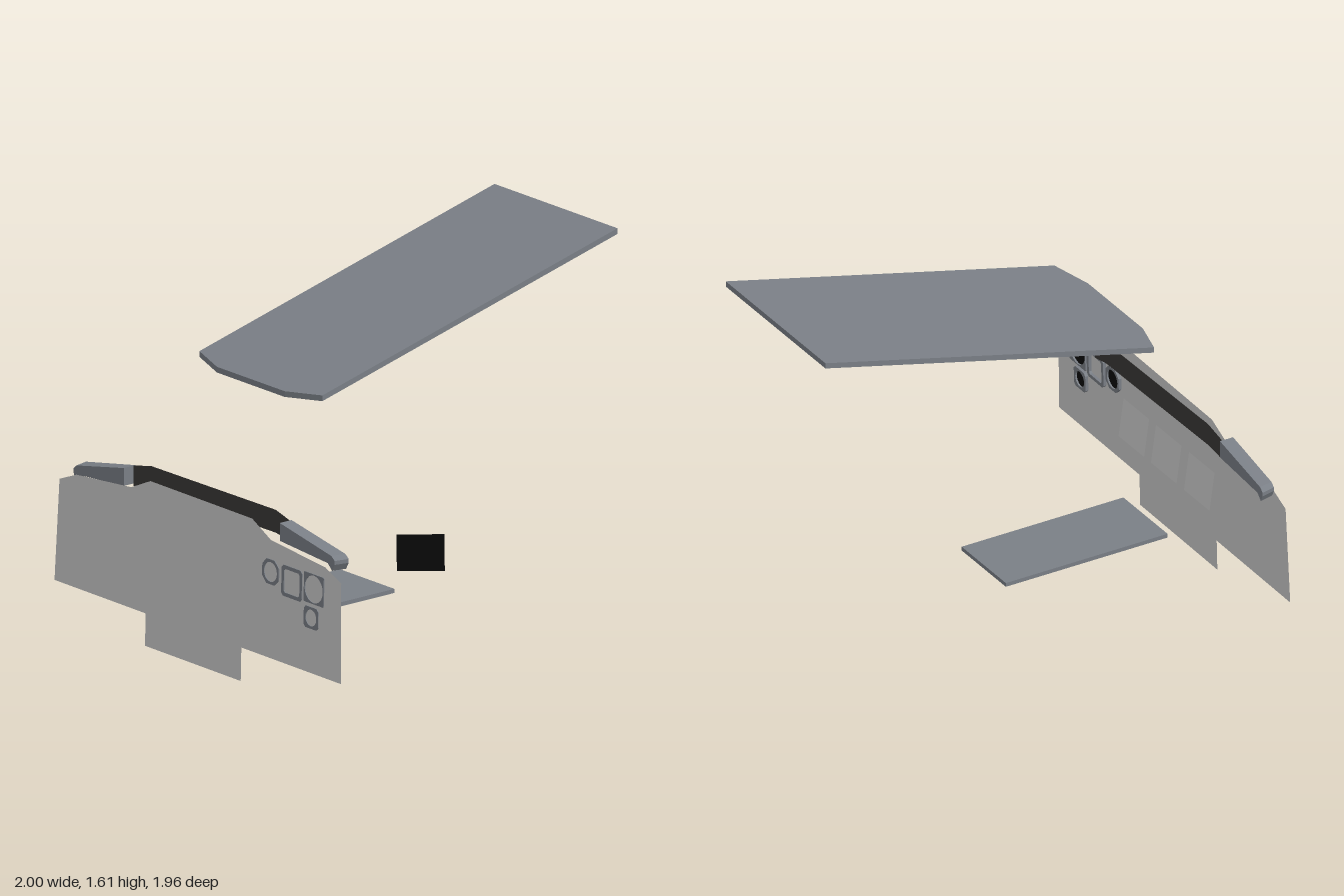
import * as THREE from 'three';

const mat = (color, side = THREE.FrontSide) =>
  new THREE.MeshStandardMaterial({ color, side, flatShading: true });
const shapeOf = pts => new THREE.Shape(pts.map(p => new THREE.Vector2(...p)));
const extrude = (shape, depth) =>
  new THREE.ExtrudeGeometry(shape, { depth, bevelEnabled: false, curveSegments: 10 });

// Moves every vertex by a rule that edits the vector in place
function warp(geo, rule) {
  const pos = geo.attributes.position, v = new THREE.Vector3();
  for (let i = 0; i < pos.count; i++) {
    rule(v.fromBufferAttribute(pos, i));
    pos.setXYZ(i, v.x, v.y, v.z);
  }
  geo.computeVertexNormals();
  return geo;
}

// Square with cut corners
function cutSquare(s, c) {
  const h = s / 2, k = h - c;
  return shapeOf([[-k, -h], [k, -h], [h, -k], [h, k], [k, h], [-k, h], [-h, k], [-h, -k]]);
}

// The instrument panel leans back and is turned slightly
const panelZ = (x, y) => 0.975 + 0.01 * x - 0.024 * y;

export function createModel() {
  const model = new THREE.Group();
  const slate = mat(0x7a7f86), black = mat(0x0a0a0a, THREE.DoubleSide);
  const dark = mat(0x3a3836, THREE.DoubleSide);
  const grey = mat(0xcccccc, THREE.DoubleSide);
  const add = (name, geo, material, parent = model) => {
    const mesh = new THREE.Mesh(geo, material);
    mesh.name = name;
    parent.add(mesh);
    return mesh;
  };

  // Sloping overhead board, outline in x and z
  const board = extrude(shapeOf([
    [-0.46, -0.625], [-0.28, -0.68], [0.16, -0.68], [0.34, -0.625], [0.34, 0.98], [-0.46, 0.98],
  ]), 0.025).rotateX(-Math.PI / 2);
  add('overheadBoard', warp(board, v => { v.y += 1.342 - 0.253 * v.z; }), slate);

  // Flat centre console
  add('centreConsole', new THREE.BoxGeometry(0.355, 0.018, 0.79), slate)
    .position.set(-0.107, 0.163, 0.403);

  // Thin instrument panel
  const panel = new THREE.ShapeGeometry(shapeOf([
    [-1, 0.145], [-0.4, 0.145], [-0.4, 0.004], [0.23, 0.004], [0.23, 0.15], [0.885, 0.15],
    [0.875, 0.585], [0.77, 0.63], [0.41, 0.662], [0.285, 0.725], [-0.385, 0.725],
    [-0.51, 0.668], [-0.87, 0.635], [-0.98, 0.59],
  ]));
  add('instrumentPanel', warp(panel, v => { v.z = panelZ(v.x, v.y); }), grey);

  // Upright glare shield behind the panel top
  const shield = new THREE.ShapeGeometry(shapeOf([
    [-0.57, 0.645], [-0.46, 0.66], [0.34, 0.66], [0.43, 0.645],
    [0.43, 0.735], [0.34, 0.76], [-0.46, 0.76], [-0.57, 0.735],
  ]));
  add('glareShield', warp(shield, v => { v.z = 0.883 - 0.013 * v.x; }), dark);

  // Drooping end pods with a small hooked tip
  const podProfile = [
    [0, 0.735], [0.94, 0.672], [1, 0.655], [1, 0.638], [0.955, 0.608], [0.88, 0.635], [0, 0.657],
  ];
  for (const [name, inner, length, z] of [
    ['rightPod', -0.57, -0.343, 0.88], ['leftPod', 0.43, 0.372, 0.868],
  ]) {
    const pts = podProfile.map(([t, y]) => [inner + t * length, y]);
    const geo = extrude(shapeOf(pts), 0.064).translate(0, 0, z);
    // The tip narrows toward the front
    add(name, warp(geo, v => {
      if (v.z > z + 0.03 && Math.abs(v.x - inner) > 0.25) v.x -= Math.sign(length) * 0.015;
    }), slate);
  }

  // Three tilted displays behind the panel
  for (const x of [-0.317, -0.052, 0.208]) {
    const geo = new THREE.PlaneGeometry(0.205, 0.175);
    const display = add('display', warp(geo, v => { v.z = v.y * 0.14; }), grey);
    display.position.set(x, 0.4, 0.933);
  }

  // Gauge surrounds let into the panel: x, y, size, corner cut, hole radius (0 = square hole)
  for (const [x, y, size, cut, radius] of [
    [0.415, 0.525, 0.108, 0.028, 0.043], [0.555, 0.51, 0.135, 0.012, 0],
    [0.7, 0.518, 0.13, 0.004, 0.06], [0.685, 0.39, 0.094, 0.012, 0.036],
  ]) {
    const gauge = new THREE.Group();
    gauge.name = 'gauge';
    gauge.position.set(x, y, panelZ(x, y));
    gauge.rotation.set(-0.024, -0.01, 0);
    model.add(gauge);
    const shape = cutSquare(size, cut);
    shape.holes.push(radius
      ? new THREE.Path().absarc(0, 0, radius, 0, Math.PI * 2, true)
      : new THREE.Path(cutSquare(size - 0.032, 0.008).getPoints().reverse()));
    add('gaugeSurround', extrude(shape, 0.018).translate(0, 0, -0.014), slate, gauge);
    if (radius) {
      add('gaugeFace', new THREE.CircleGeometry(radius, 20), black, gauge).position.z = -0.006;
    }
  }

  // Small angled side plate, standing apart
  const plate = new THREE.BoxGeometry(0.2, 0.16, 0.01).rotateY(0.9);
  add('sidePlate', warp(plate, v => { v.x += 0.04 * v.y; v.z += 0.04 * v.y; }), black)
    .position.set(0.928, 0.655, 0.582);

  return model;
}
